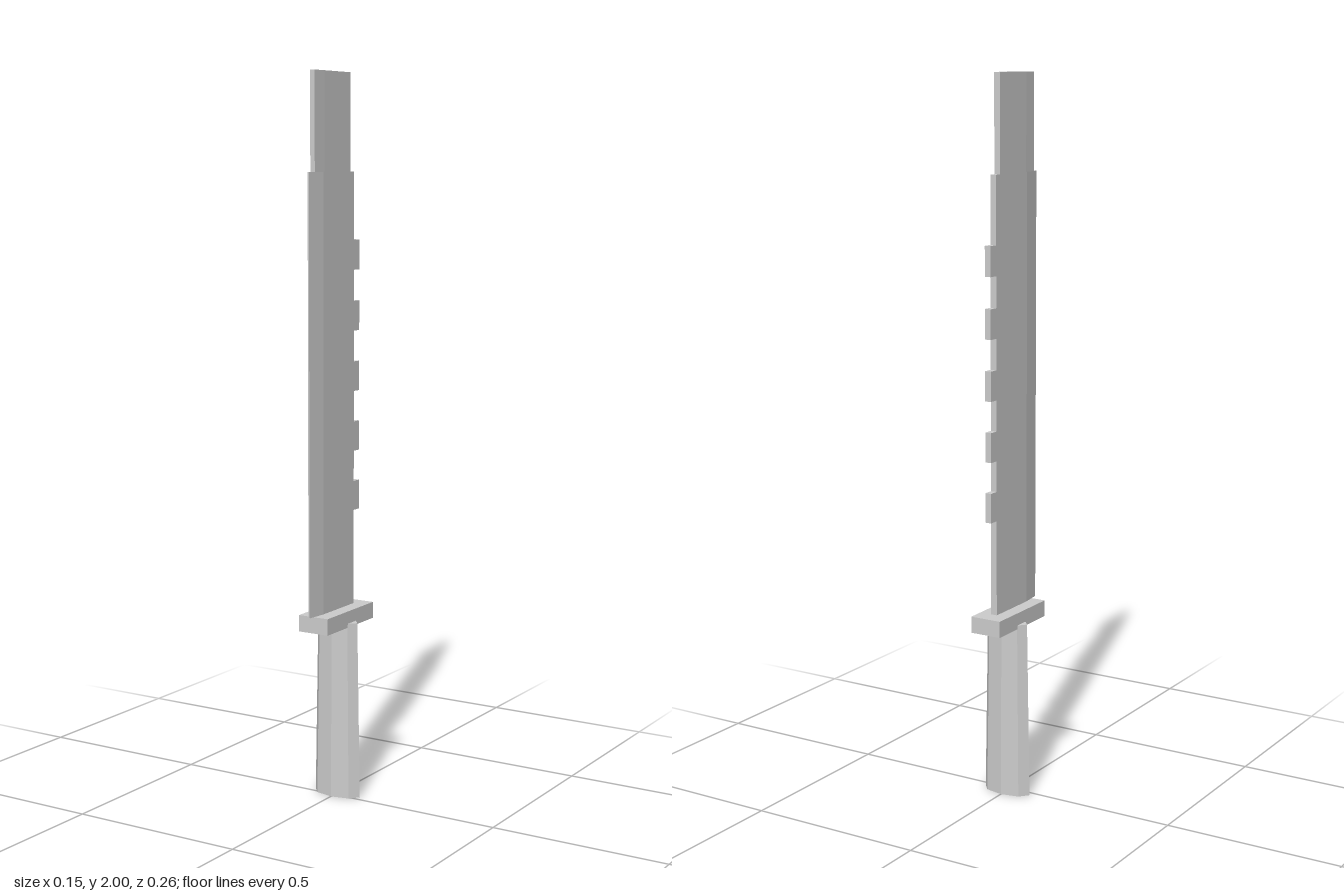
import * as THREE from 'three';

// Upright prism from half of a mirrored cross-section, given as [x, z] points from back to front
function prism(half, y0, y1) {
  const outline = [...half, ...half.map(([x, z]) => [-x, z]).reverse()];
  const shape = new THREE.Shape(outline.map(([x, z]) => new THREE.Vector2(x, -z)));
  const geometry = new THREE.ExtrudeGeometry(shape, { depth: y1 - y0, bevelEnabled: false });
  return geometry.rotateX(-Math.PI / 2).translate(0, y0, 0);
}

export function createModel() {
  const model = new THREE.Group();
  const steel = new THREE.MeshStandardMaterial({ color: 0xcccccc, flatShading: true });
  steel.name = 'steelGrey';

  const add = (name, geometry) => {
    const mesh = new THREE.Mesh(geometry, steel);
    mesh.name = name;
    model.add(mesh);
    return mesh;
  };

  // Octagonal grip, flattened front to back and widening to the bottom
  const grip = add('grip', new THREE.CylinderGeometry(0.064, 0.073, 0.5, 8));
  grip.scale.z = 0.49;
  grip.position.set(0, 0.25, -0.017);

  // Guard plate
  const guard = add('guard', new THREE.BoxGeometry(0.092, 0.046, 0.24));
  guard.position.set(0, 0.512, -0.011);

  // Main blade with its cutting edge ground thin at the front
  add('blade', prism([[0.009, -0.087], [0.009, 0.07], [0.002, 0.13]], 0.536, 1.736));

  // Narrower blunt tip
  add('bladeTip', prism([[0.009, -0.067], [0.009, 0.065], [0.007, 0.109]], 1.736, 2));

  // Square teeth along the back of the blade
  for (let i = 0; i < 5; i++) {
    const tooth = add('tooth', new THREE.BoxGeometry(0.018, 0.082, 0.029));
    tooth.position.set(0, 0.843 + i * 0.167, -0.1005);
  }

  return model;
}
